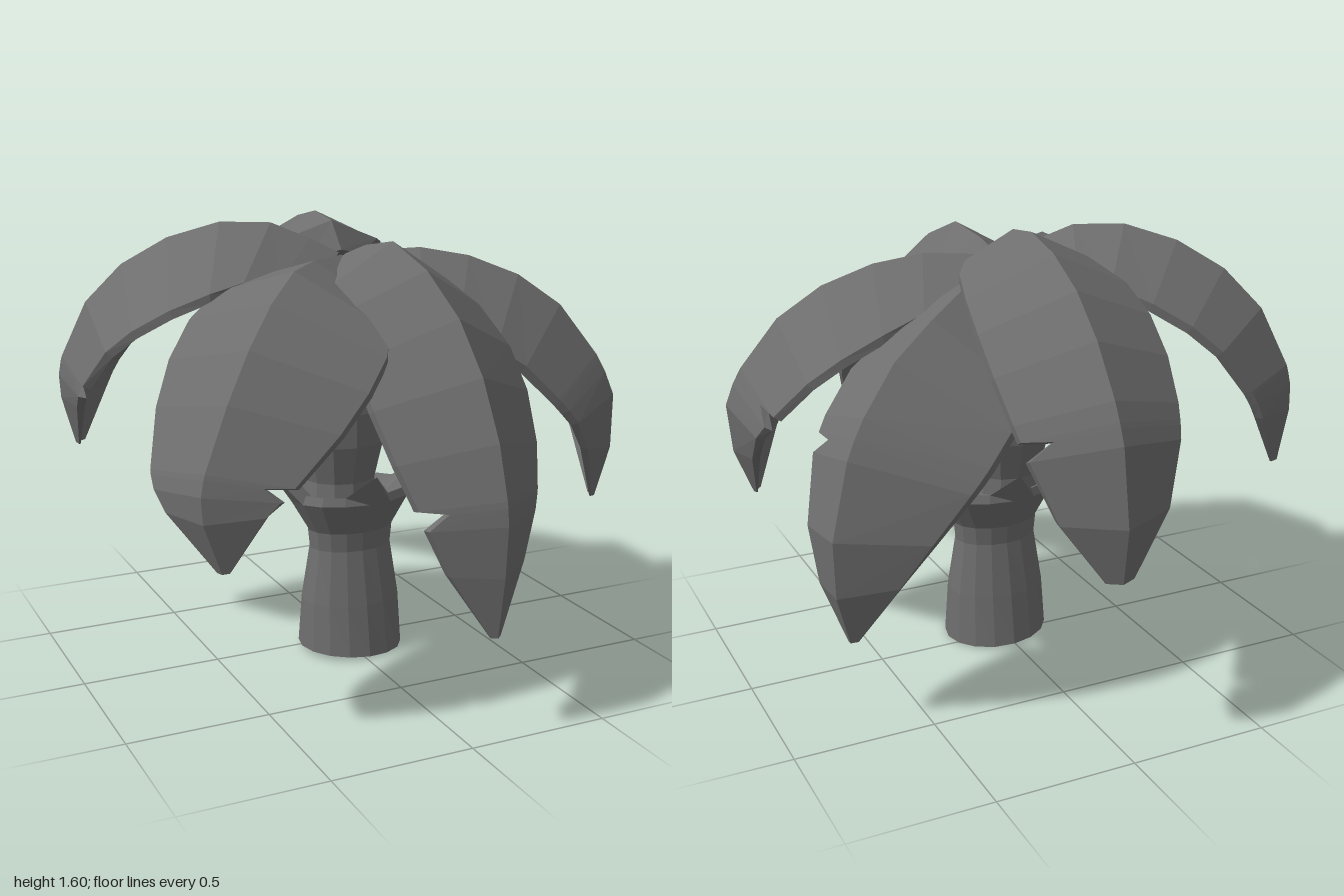
import * as THREE from 'three';

const material = new THREE.MeshStandardMaterial({ color: 0x6e6e6e, flatShading: true, side: THREE.DoubleSide });
const THICKNESS = 0.03;
const HUB = [-0.01, 1.47, 0.04];

function addMesh(group, name, geometry) {
  const mesh = new THREE.Mesh(geometry, material);
  mesh.name = name;
  group.add(mesh);
  return mesh;
}

function lathe(profile, segments) {
  return new THREE.LatheGeometry(profile.map(([r, y]) => new THREE.Vector2(r, y)), segments);
}

// Folded leaf blade: six-cornered cross-sections swept along the midrib.
// width and drop are [left, right], seen from the hub outward; tear is the place of the torn notch.
function frondGeometry({ rib, width, drop, tear, tornLeft = false, taper = 0.65 }) {
  const curve = new THREE.CatmullRomCurve3([HUB, ...rib].map((p) => new THREE.Vector3(...p)));
  const reach = curve.getPoint(1).sub(curve.getPoint(0));
  const side = new THREE.Vector3(reach.z, 0, -reach.x).normalize();
  const notch = tear + 0.012;
  const stations = [0.01, 0.08, 0.17, 0.28, 0.4, 0.52, 0.64, 0.76, 0.88, 0.995]
    .filter((t) => t < tear - 0.03 || t > tear + 0.08)
    .concat([tear, notch, tear + 0.045])
    .sort((a, b) => a - b);

  const rings = stations.map((t) => {
    const middle = curve.getPointAt(t);
    const up = curve.getTangentAt(t).cross(side).normalize();
    const spread = Math.sin(Math.PI * t ** 0.85) ** taper;
    const thickness = THICKNESS * Math.min(1, 0.15 + 8 * (1 - t));
    const edge = (k, sign, torn) => {
      const s = spread * (torn && t === notch ? 0.68 : 1);
      return middle.clone().addScaledVector(side, sign * width[k] * s).addScaledVector(up, -drop[k] * s);
    };
    const l = edge(0, 1, tornLeft), r = edge(1, -1, !tornLeft);
    return [l, middle, r, ...[r, middle, l].map((p) => p.clone().addScaledVector(up, -thickness))];
  });

  const positions = [];
  const quad = (a, b, c, d) => [a, b, c, a, c, d].forEach((p) => positions.push(p.x, p.y, p.z));
  for (let i = 0; i < rings.length - 1; i++) {
    for (let k = 0; k < 6; k++) {
      const n = (k + 1) % 6;
      quad(rings[i][k], rings[i][n], rings[i + 1][n], rings[i + 1][k]);
    }
  }
  // End caps
  const s = rings[0], e = rings[rings.length - 1];
  quad(s[5], s[4], s[1], s[0]);
  quad(s[4], s[3], s[2], s[1]);
  quad(e[0], e[1], e[4], e[5]);
  quad(e[1], e[2], e[3], e[4]);

  const geometry = new THREE.BufferGeometry();
  geometry.setAttribute('position', new THREE.Float32BufferAttribute(positions, 3));
  geometry.computeVertexNormals();
  return geometry;
}

// Oval stem, open below, that flares at the foot and ends in a collar with four spikes.
function trunkGeometry() {
  const profile = [[0.178, 0.01], [0.148, 0.2], [0.11, 0.4], [0.115, 0.47],
    [0.14, 0.53], [0.165, 0.59], [0.155, 0.62], [0.1, 0.6], [0, 0.6]];
  const rim = 6;
  const geometry = lathe(profile, 16);
  const pos = geometry.attributes.position;
  for (let i = 0; i < pos.count; i++) {
    const ring = i % profile.length;
    const step = Math.floor(i / profile.length);
    const spike = ring === rim && step % 4 === 0;
    const grow = spike ? 1.44 : 1;
    const y = spike ? 0.71 : pos.getY(i);
    const x = pos.getX(i) * grow * (1.09 + 0.33 * Math.min(y / 0.4, 1));
    const slant = ring === 0 ? -0.05 * x : 0;
    pos.setXYZ(i, x + 0.01, y + slant, pos.getZ(i) * grow + 0.058);
  }
  geometry.computeVertexNormals();
  return geometry;
}

export function createModel() {
  const model = new THREE.Group();
  model.name = 'palm';

  addMesh(model, 'trunk', trunkGeometry());

  // Swollen upper stem between collar and fronds
  const bulb = addMesh(model, 'upperStem', lathe([[0.13, 0.58], [0.12, 0.66], [0.15, 0.8],
    [0.15, 0.92], [0.1, 1.1], [0.03, 1.4], [0, 1.45]], 12));
  bulb.scale.x = 1.1;
  bulb.position.set(-0.03, 0, 0.05);

  const crown = new THREE.Group();
  crown.name = 'crown';
  model.add(crown);
  const addFrond = (name, shape) => addMesh(crown, name, frondGeometry(shape));

  addFrond('frontFrond', {
    rib: [[0.04, 1.545, 0.34], [0.1, 1.35, 0.66], [0.115, 1.08, 0.87], [0.115, 0.75, 0.99], [0.1, 0.34, 0.97]],
    width: [0.32, 0.32], drop: [0.2, 0.18], tear: 0.74,
  });
  addFrond('backFrond', {
    rib: [[-0.02, 1.59, -0.05], [0, 1.54, -0.45], [0.03, 1.27, -0.82], [0.04, 0.95, -0.98], [0.04, 0.63, -0.96]],
    width: [0.31, 0.31], drop: [0.15, 0.15], tear: 0.68, taper: 0.42,
  });
  addFrond('backRightFrond', {
    rib: [[-0.28, 1.59, -0.07], [-0.55, 1.54, -0.21], [-0.8, 1.34, -0.37], [-0.92, 1.02, -0.47], [-0.86, 0.74, -0.5]],
    width: [0.35, 0.27], drop: [0.22, 0.18], tear: 0.78, tornLeft: true, taper: 0.5,
  });
  addFrond('frontRightFrond', {
    rib: [[-0.33, 1.47, 0.35], [-0.5, 1.35, 0.5], [-0.67, 1.12, 0.62], [-0.79, 0.83, 0.69], [-0.72, 0.59, 0.68]],
    width: [0.35, 0.33], drop: [0.2, 0.1], tear: 0.78, tornLeft: true,
  });
  addFrond('backLeftFrond', {
    rib: [[0.3, 1.39, -0.2], [0.58, 1.22, -0.34], [0.77, 0.93, -0.43], [0.82, 0.6, -0.44], [0.75, 0.31, -0.39]],
    width: [0.35, 0.24], drop: [0.27, 0.1], tear: 0.56,
  });
  addFrond('frontLeftFrond', {
    rib: [[0.26, 1.49, 0.13], [0.55, 1.41, 0.22], [0.77, 1.25, 0.29], [0.93, 0.9, 0.4], [0.83, 0.57, 0.43]],
    width: [0.32, 0.33], drop: [0.2, 0.23], tear: 0.66, tornLeft: true, taper: 0.6,
  });

  return model;
}
